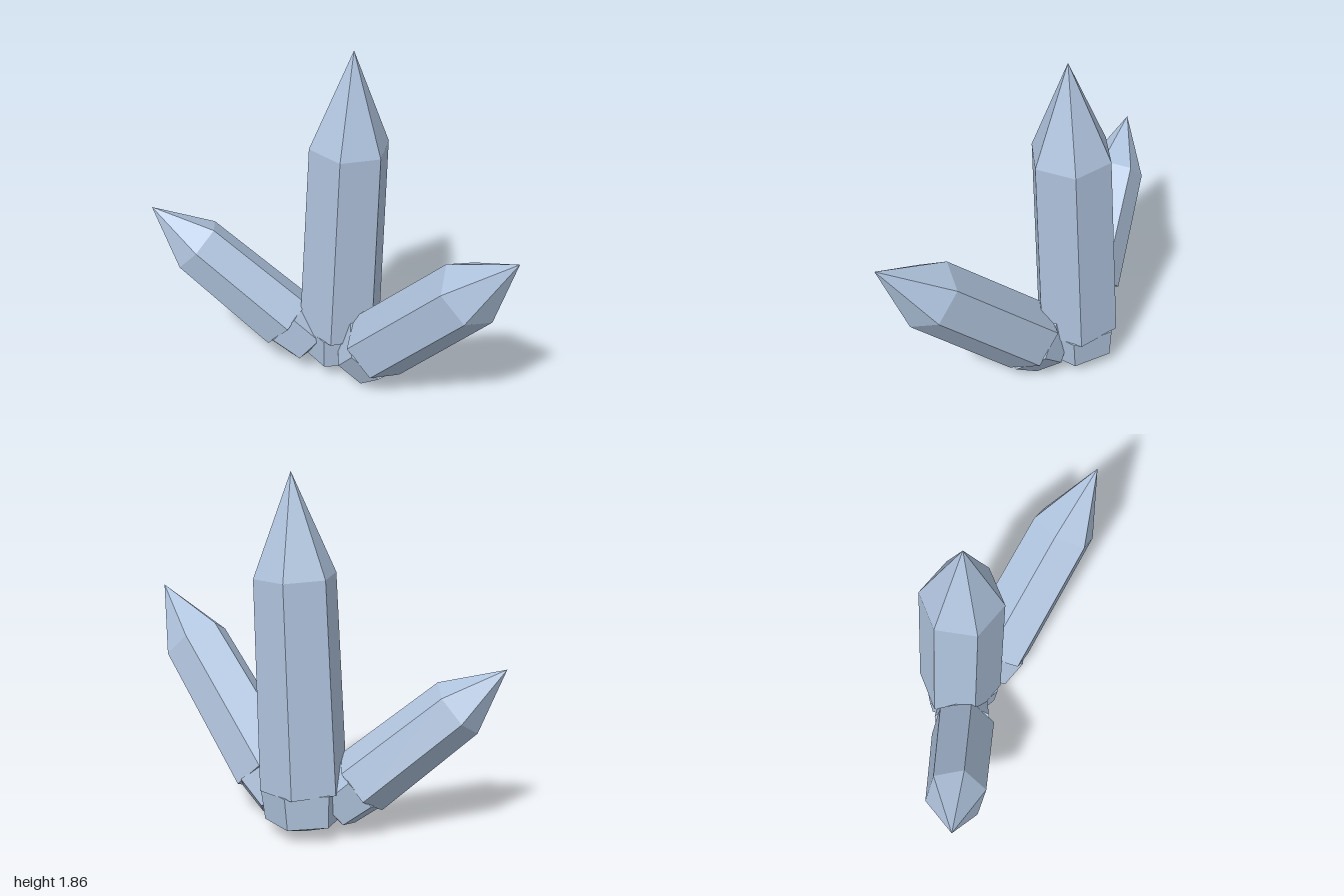
import * as THREE from 'three';

// Six-sided solid of revolution from [radius, height] pairs, bottom to top
function hexLathe(points, material, name) {
  const profile = points.map(([r, y]) => new THREE.Vector2(r, y));
  const mesh = new THREE.Mesh(new THREE.LatheGeometry(profile, 6), material);
  mesh.name = name;
  return mesh;
}

// tip: apex; shoulder: centre of the ring below it; corner: direction to one ring corner
// body, collar, cap: lengths below the shoulder
function makeCrystal(c, material) {
  const group = new THREE.Group();
  group.name = c.name;
  const tip = new THREE.Vector3(...c.tip);
  const shoulder = new THREE.Vector3(...c.shoulder);
  const axis = tip.clone().sub(shoulder);
  const point = axis.length();
  axis.normalize();
  const side = new THREE.Vector3().crossVectors(axis, new THREE.Vector3(...c.corner)).normalize();
  const front = new THREE.Vector3().crossVectors(side, axis);
  group.quaternion.setFromRotationMatrix(new THREE.Matrix4().makeBasis(side, axis, front));
  group.position.copy(shoulder);

  // Tapered shaft with a pointed end
  group.add(hexLathe([[0, -c.body], [c.rBase, -c.body], [c.rTop, 0], [0, point]], material, 'shaft'));

  // Slightly twisted root with a shallow cone underneath
  const bottom = -c.body - c.collar;
  const root = hexLathe(
    [[0, bottom - c.cap], [c.rRoot, bottom], [c.rBase * 0.97, -c.body + 0.005], [0, -c.body + 0.005]],
    material, 'root');
  root.rotation.y = THREE.MathUtils.degToRad(c.twist);
  group.add(root);
  return group;
}

export function createModel() {
  const model = new THREE.Group();
  model.name = 'crystalCluster';
  const crystal = new THREE.MeshStandardMaterial({ color: 0xb0c4de, flatShading: true });
  crystal.name = 'pale blue crystal';

  const crystals = [
    { name: 'centreCrystal', tip: [0.057, 1.87, -0.13], shoulder: [0.033, 1.36, -0.14],
      corner: [0.017, 0, 0.21], rTop: 0.211, rBase: 0.23, rRoot: 0.207,
      body: 1.1, collar: 0.17, cap: 0.085, twist: -10 },
    { name: 'leftCrystal', tip: [1, 1.12, 0.35], shoulder: [0.757, 0.846, 0.238],
      corner: [-0.125, 0.118, -0.03], rTop: 0.18, rBase: 0.196, rRoot: 0.16,
      body: 0.822, collar: 0.17, cap: 0.07, twist: 15 },
    { name: 'rightCrystal', tip: [-1, 0.93, 0.05], shoulder: [-0.77, 0.718, 0.008],
      corner: [0.11, 0.112, 0.02], rTop: 0.16, rBase: 0.178, rRoot: 0.155,
      body: 0.645, collar: 0.18, cap: 0.06, twist: 20 },
  ];
  for (const c of crystals) model.add(makeCrystal(c, crystal));
  return model;
}
